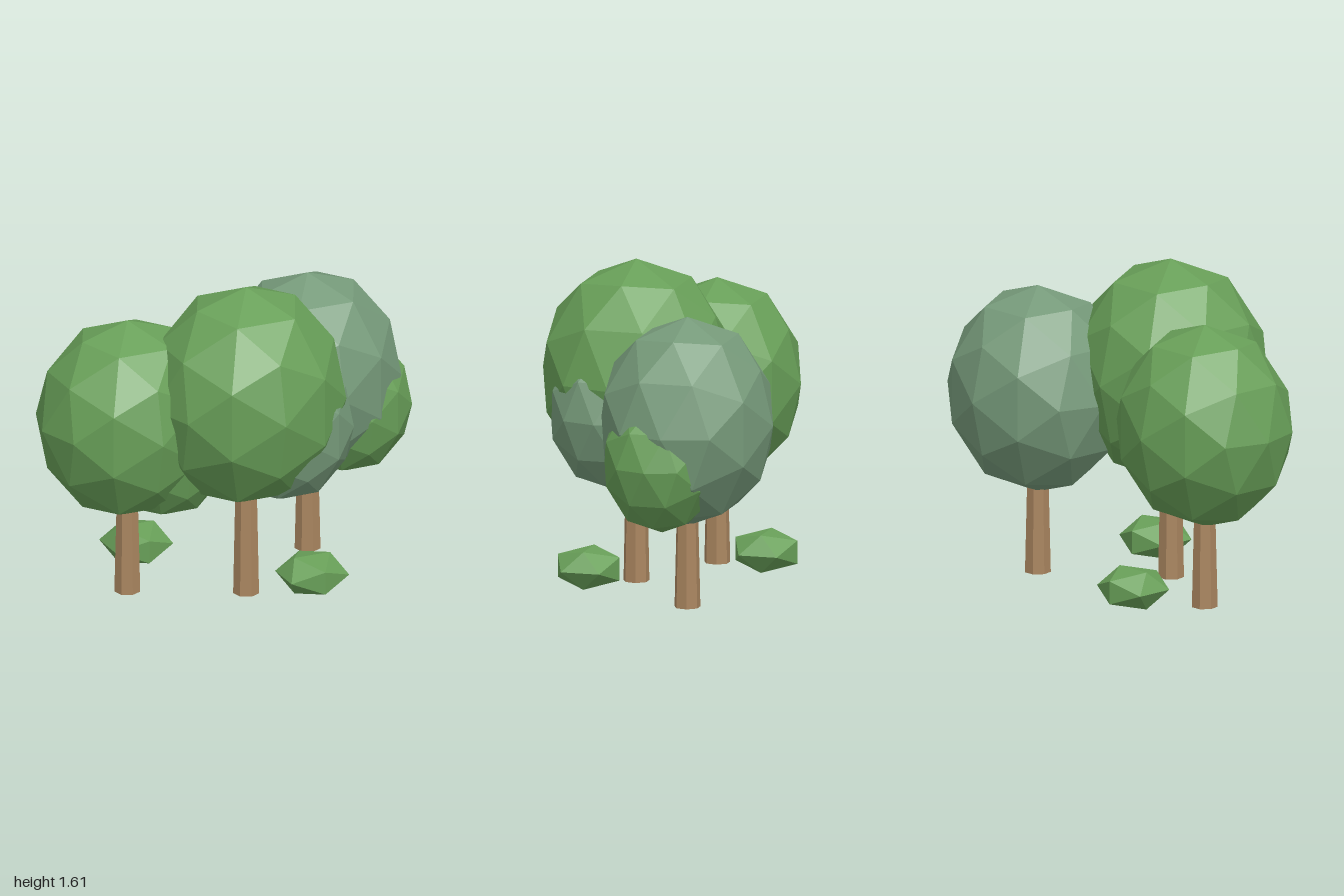
import * as THREE from 'three';

const flat = (name, color) => {
  const m = new THREE.MeshStandardMaterial({ color, flatShading: true });
  m.name = name;
  return m;
};

export function createModel() {
  const green = flat('leaf green', 0x689f58);
  const sage = flat('sage green', 0x769a7a);
  const bark = flat('bark brown', 0xa9855f);

  const group = new THREE.Group();
  group.name = 'grove';

  // Faceted foliage ball, stretched to the given radii
  const foliage = (parent, name, material, detail, center, radii) => {
    const geometry = new THREE.IcosahedronGeometry(1, detail);
    geometry.scale(...radii);
    const mesh = new THREE.Mesh(geometry, material);
    mesh.name = name;
    mesh.position.set(...center);
    parent.add(mesh);
  };

  // Seven-sided tapered trunk with a main crown and a smaller side clump
  const trees = [
    {
      name: 'middleTree', x: -0.02, z: 0.185, leaf: green, clumpLeaf: sage,
      crownY: 1.045, crown: [0.5, 0.565, 0.475],
      clumpAt: [0.158, 0.88, 0.25], clump: [0.347, 0.39, 0.32],
    },
    {
      name: 'rightTree', x: -0.54, z: -0.075, leaf: green, clumpLeaf: green,
      crownY: 0.915, crown: [0.458, 0.51, 0.427],
      clumpAt: [-0.36, 0.752, -0.005], clump: [0.315, 0.352, 0.29],
    },
    {
      name: 'leftTree', x: 0.495, z: -0.225, leaf: sage, clumpLeaf: green,
      crownY: 0.928, crown: [0.47, 0.522, 0.437],
      clumpAt: [0.677, 0.765, -0.15], clump: [0.323, 0.36, 0.295],
    },
  ];
  for (const t of trees) {
    const tree = new THREE.Group();
    tree.name = t.name;
    const height = t.crownY - 0.3;
    const trunk = new THREE.Mesh(new THREE.CylinderGeometry(0.05, 0.065, height, 7), bark);
    trunk.name = 'trunk';
    trunk.position.set(t.x, height / 2, t.z);
    tree.add(trunk);
    foliage(tree, 'crown', t.leaf, 1, [t.x, t.crownY, t.z], t.crown);
    foliage(tree, 'sideClump', t.clumpLeaf, 1, t.clumpAt, t.clump);
    group.add(tree);
  }

  // Low bushes in front and behind
  const bush = [0.182, 0.11, 0.185];
  foliage(group, 'frontBush', green, 0, [0.262, 0.115, 0.345], bush);
  foliage(group, 'backBush', green, 0, [-0.355, 0.115, -0.38], bush);

  return group;
}
